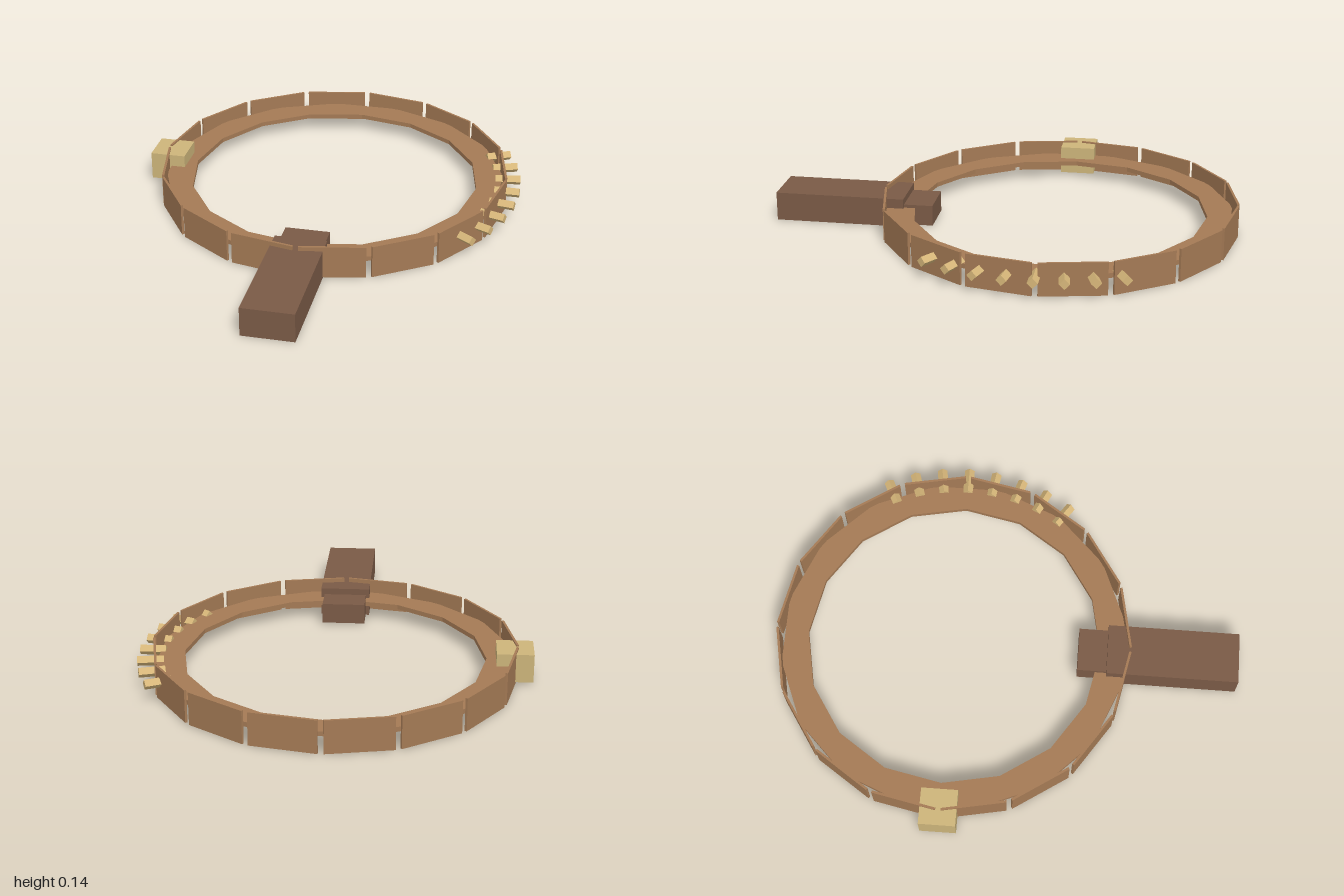
import * as THREE from 'three';

const mat = (name, color) => Object.assign(new THREE.MeshStandardMaterial({ color }), { name });

export function createModel() {
  const model = new THREE.Group();
  const ringWood = mat('ring wood', 0xa47a55);
  const darkWood = mat('dark wood', 0x7a5a46);
  const pegWood = mat('peg wood', 0xd6b679);
  const blockWood = mat('pale block', 0xccb47a);

  const box = (name, material, size, pos, parent = model) => {
    const mesh = new THREE.Mesh(new THREE.BoxGeometry(...size), material);
    mesh.name = name;
    mesh.position.set(...pos);
    parent.add(mesh);
    return mesh;
  };

  const SIDES = 16;
  const STEP = (Math.PI * 2) / SIDES;
  const polygon = (radius, offset) =>
    Array.from({ length: SIDES }, (_, i) => {
      const a = i * STEP + offset;
      return new THREE.Vector2(Math.cos(a) * radius, Math.sin(a) * radius);
    });

  // Ring assembly, set back from the handle
  const ring = new THREE.Group();
  ring.name = 'ring';
  ring.position.z = -0.23;
  model.add(ring);

  // Flat deck: outer corners meet the middles of the wall panels
  const shape = new THREE.Shape(polygon(0.75, STEP / 2));
  shape.holes.push(new THREE.Path(polygon(0.635, 0)));
  const deckGeo = new THREE.ExtrudeGeometry(shape, { depth: 0.02, bevelEnabled: false });
  deckGeo.rotateX(-Math.PI / 2);
  const deck = new THREE.Mesh(deckGeo, ringWood);
  deck.name = 'deck';
  deck.position.y = 0.063;
  ring.add(deck);

  // Wall panels with narrow gaps between them
  for (let i = 0; i < SIDES; i++) {
    const a = (i + 0.5) * STEP;
    const panel = box('wallPanel', ringWood, [0.275, 0.14, 0.01],
      [Math.sin(a) * 0.75, 0.073, Math.cos(a) * 0.75], ring);
    panel.rotation.y = a;
  }

  // Square pegs fanned through the left wall, turned onto their edges
  for (let i = -3; i <= 4; i++) {
    const arm = new THREE.Group();
    arm.name = 'pegArm';
    arm.rotation.y = -i * 0.15;
    ring.add(arm);
    box('peg', pegWood, [0.11, 0.031, 0.031], [0.77, 0.082, 0], arm).rotation.x = Math.PI / 4;
  }

  // Block straddling the right wall
  box('sideBlock', blockWood, [0.155, 0.123, 0.155], [-0.752, 0.075, 0], ring);

  // Handle and its inner tongue
  box('handle', darkWood, [0.22, 0.125, 0.565], [0, 0.0625, 0.7175]);
  box('handleTongue', darkWood, [0.19, 0.09, 0.25], [0, 0.052, 0.435]);

  return model;
}
